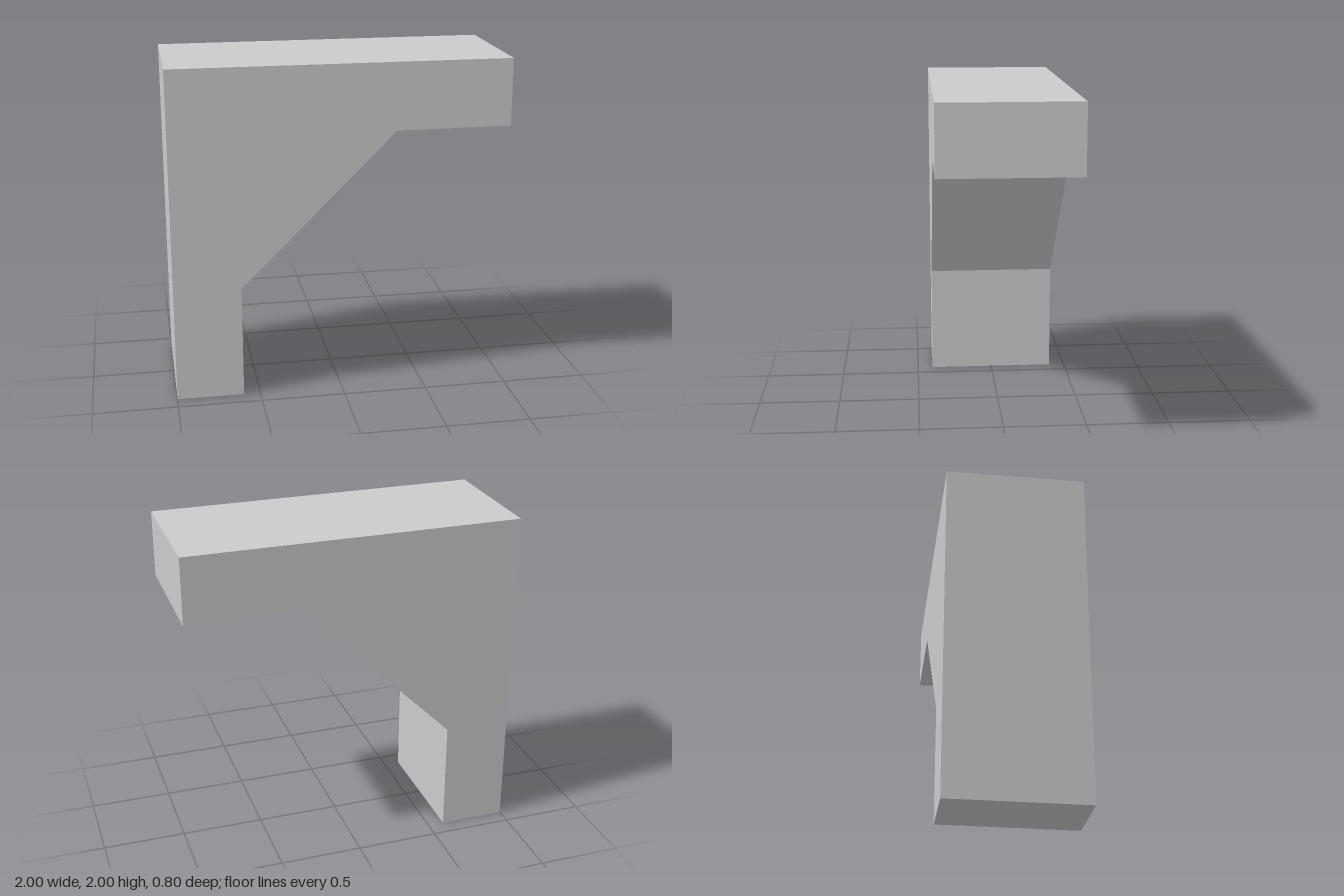
import * as THREE from 'three';

const DEPTH = 0.8;

export function createModel() {
  const group = new THREE.Group();
  group.name = 'bracket';
  const material = new THREE.MeshStandardMaterial({ color: 0xcccccc, flatShading: true });

  // Extrudes a front outline, given counter-clockwise, centred on z = 0
  function addPart(name, outline) {
    const shape = new THREE.Shape(outline.map(([x, y]) => new THREE.Vector2(x, y)));
    const geometry = new THREE.ExtrudeGeometry(shape, { depth: DEPTH, bevelEnabled: false });
    geometry.translate(0, 0, -DEPTH / 2);
    const mesh = new THREE.Mesh(geometry, material);
    mesh.name = name;
    group.add(mesh);
  }

  // Upright leg below the arm
  addPart('post', [[-1, 0], [-0.6, 0], [-0.6, 1.6], [-1, 1.6]]);

  // Horizontal arm across the top
  addPart('arm', [[-1, 1.6], [1, 1.6], [1, 2], [-1, 2]]);

  // Solid 45 degree brace filling the inner corner
  addPart('brace', [[-0.6, 0.68], [0.32, 1.6], [-0.6, 1.6]]);

  return group;
}
